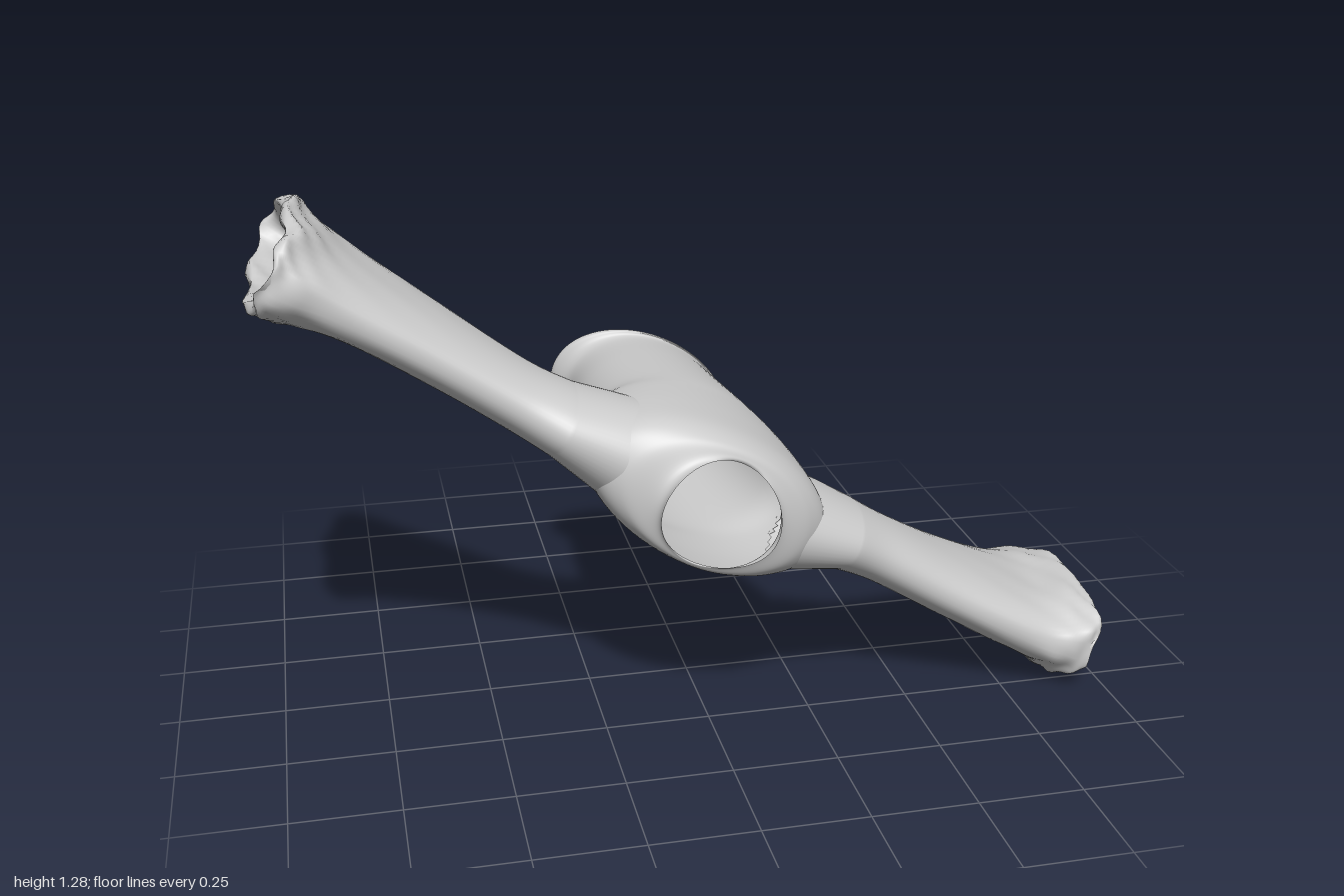
import * as THREE from 'three';

const material = new THREE.MeshStandardMaterial({ color: 0xcccccc, side: THREE.DoubleSide });

// The garment lies tilted: u runs along the arms, v across them, z along the body.
const TILT = -0.5;
const C = Math.cos(TILT), S = Math.sin(TILT);
const CENTRE = [-0.005, 0.62];
const SHOULDER = [-0.011, 0.610];

// Smooth interpolation of rows of numbers, t from 0 to 1.
function spline(rows, t) {
  const f = Math.min(t, 1) * (rows.length - 1);
  const i = Math.min(Math.floor(f), rows.length - 2), k = f - i;
  const at = j => rows[Math.max(0, Math.min(rows.length - 1, j))];
  const p = at(i - 1), a = at(i), b = at(i + 1), q = at(i + 2);
  return a.map((_, n) => a[n] + 0.5 * k * (b[n] - p[n]
    + k * (2 * p[n] - 5 * a[n] + 4 * b[n] - q[n] + k * (3 * (a[n] - b[n]) + q[n] - p[n]))));
}

// Skin over closed rings; faces whose centre satisfies skip() are left open.
function loft(rings, skip) {
  const n = rings[0].length, index = [];
  const flat = rings.flat();
  const add = (...tri) => {
    const c = [0, 1, 2].map(k => tri.reduce((sum, i) => sum + flat[i][k], 0) / 3);
    if (!skip || !skip(c)) index.push(...tri);
  };
  for (let i = 0; i < rings.length - 1; i++) {
    for (let j = 0; j < n; j++) {
      const a = i * n + j, b = i * n + (j + 1) % n;
      add(a, b, a + n);
      add(b, b + n, a + n);
    }
  }
  const geometry = new THREE.BufferGeometry();
  geometry.setAttribute('position', new THREE.Float32BufferAttribute(flat.flat(), 3));
  geometry.setIndex(index);
  geometry.computeVertexNormals();
  return geometry;
}

// Body rows from hem to collar: z, half width, half depth, centre x, centre y, hem slant, collar rise
const BODY = [
  [-0.385, 0.215, 0.158, -0.040, 0.607, 1, 0],
  [-0.408, 0.237, 0.172, -0.040, 0.607, 1, 0],
  [-0.392, 0.240, 0.175, -0.040, 0.607, 1, 0],
  [-0.350, 0.213, 0.165, -0.030, 0.607, 0.3, 0],
  [-0.200, 0.222, 0.173, -0.027, 0.607, 0, 0],
  [0.000, 0.245, 0.180, -0.016, 0.609, 0, 0],
  [0.100, 0.285, 0.176, -0.011, 0.610, 0, 0],
  [0.220, 0.305, 0.172, -0.011, 0.610, 0, 0],
  [0.320, 0.295, 0.165, -0.011, 0.610, 0, 0],
  [0.375, 0.235, 0.150, -0.011, 0.608, 0, 0],
  [0.390, 0.150, 0.134, -0.012, 0.603, 0, 0.3],
  [0.388, 0.140, 0.127, -0.013, 0.601, 0, 1],
];

// Where the sleeves meet the body, in v and z
const ROOT = { z: 0.225, hz: 0.150, hv: 0.112 };

function createBody() {
  const rings = [], rows = 99, sides = 80;
  for (let i = 0; i <= rows; i++) {
    const [z, a, b, cx, cy, slant, rise] = spline(BODY, i / rows);
    const ring = [];
    for (let j = 0; j < sides; j++) {
      const t = j / sides * Math.PI * 2;
      const u = a * Math.cos(t), v = b * Math.sin(t);
      const x = u * C - v * S, y = u * S + v * C;
      ring.push([cx + x, cy + y,
        z + slant * (0.13 * x + 0.14 * y) + rise * 0.05 * Math.cos(t) ** 2]);
    }
    rings.push(ring);
  }
  // Armholes
  const inArmhole = ([x, y, z]) => {
    const dx = x - SHOULDER[0], dy = y - SHOULDER[1];
    const u = dx * C + dy * S, v = -dx * S + dy * C;
    return Math.abs(u) > 0.1 && Math.hypot((z - ROOT.z) / ROOT.hz, v / ROOT.hv) < 0.93;
  };
  return loft(rings, inArmhole);
}

// Body surface distance along u for a given z and v
function bodyReach(z, v) {
  let best = BODY[7];
  for (let t = 0.4; t < 0.9; t += 0.002) {
    const row = spline(BODY, t);
    if (Math.abs(row[0] - z) < Math.abs(best[0] - z)) best = row;
  }
  return best[1] * Math.sqrt(Math.max(0, 1 - (v / best[2]) ** 2));
}

// Sleeve rows from shoulder to cuff: outward x, drop in y, centre z, half width, half thickness, crumple
const SLEEVE = [
  [0.330, 0.170, 0.212, 0.146, 0.082, 0],
  [0.430, 0.230, 0.187, 0.138, 0.074, 0],
  [0.610, 0.346, 0.130, 0.185, 0.076, 0.05],
  [0.810, 0.460, 0.075, 0.250, 0.085, 0.3],
  [0.900, 0.492, 0.062, 0.272, 0.108, 0.7],
  [0.945, 0.508, 0.062, 0.272, 0.118, 1],
  [0.955, 0.512, 0.070, 0.260, 0.085, 1],
  [0.890, 0.485, 0.075, 0.240, 0.055, 0.6],
];

function createSleeve(side) {
  const sides = 56, rows = 56, rings = [];
  const angles = Array.from({ length: sides }, (_, j) => j / sides * Math.PI * 2);
  // First ring lies on the body surface
  rings.push(angles.map(t => {
    const v = ROOT.hv * Math.cos(t), z = ROOT.z + ROOT.hz * Math.sin(t);
    const u = bodyReach(z, v);
    return [SHOULDER[0] + side * (u * C - v * S), SHOULDER[1] + side * (u * S + v * C), z];
  }));
  for (let i = 0; i <= rows; i++) {
    const [dx, dy, zc, hz, hv, crumple] = spline(SLEEVE, i / rows);
    // The right cuff is lifted slightly further than the left one drops
    const lift = side < 0 ? crumple : 0;
    rings.push(angles.map((t, j) => {
      // Squarer along the front edge, rounder along the back edge
      const power = Math.sin(t) > 0 ? 1 - 0.25 * Math.min(1, i / rows * 1.5) : 1;
      const soften = w => Math.sign(w) * Math.abs(w) ** power;
      // Irregular folds near the cuff
      const fold = crumple * (0.005 * Math.sin(5 * t + i * 0.4) + 0.004 * Math.sin(11 * t - i * 0.7 + side));
      const v = (hv + fold) * soften(Math.cos(t));
      const u = crumple * 0.007 * Math.sin(7 * t + side);
      return [
        CENTRE[0] + side * (dx - 0.012 * lift + u * C - v * S),
        CENTRE[1] + side * (-dy - 0.045 * lift + u * S + v * C),
        zc + (hz + fold * 0.5) * soften(Math.sin(t)),
      ];
    }));
  }
  return loft(rings);
}

export function createModel() {
  const group = new THREE.Group();
  group.name = 'sweater';
  const add = (name, geometry) => {
    const mesh = new THREE.Mesh(geometry, material);
    mesh.name = name;
    group.add(mesh);
  };
  add('body', createBody());
  add('leftSleeve', createSleeve(1));
  add('rightSleeve', createSleeve(-1));
  return group;
}
